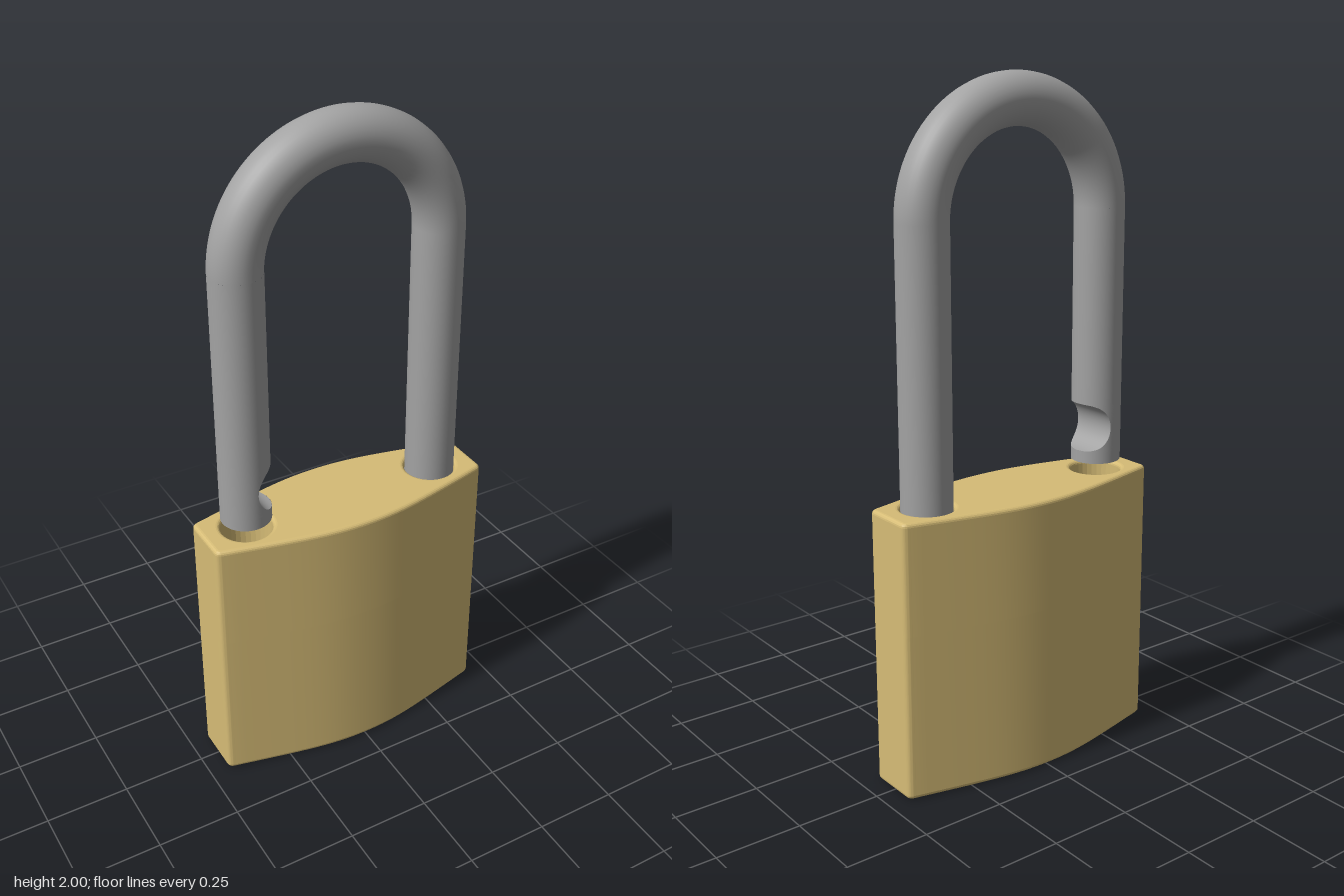
import * as THREE from 'three';
import { toCreasedNormals } from 'three/addons/utils/BufferGeometryUtils.js';

const LEG_X = 0.309, ROD = 0.074, ARCH_Y = 1.617;
const BASE = 0.002, TOP = 0.83, SPLIT = 0.5, BEVEL = 0.012;

// Plan of the body: bowed faces, narrow ends with rounded corners
function bodyOutline() {
  const s = new THREE.Shape();
  s.moveTo(0, -0.161);
  s.bezierCurveTo(0.12, -0.161, 0.2, -0.14, 0.422, -0.087);
  s.quadraticCurveTo(0.443, -0.083, 0.443, -0.066);
  s.lineTo(0.443, 0.066);
  s.quadraticCurveTo(0.443, 0.083, 0.422, 0.087);
  s.bezierCurveTo(0.2, 0.14, 0.12, 0.161, 0, 0.161);
  s.bezierCurveTo(-0.12, 0.161, -0.2, 0.14, -0.422, 0.087);
  s.quadraticCurveTo(-0.443, 0.083, -0.443, 0.066);
  s.lineTo(-0.443, -0.066);
  s.quadraticCurveTo(-0.443, -0.083, -0.422, -0.087);
  s.bezierCurveTo(-0.2, -0.14, -0.12, -0.161, 0, -0.161);
  return s;
}

// Upright extrusion whose straight wall runs from y0 to y1, bevels beyond
function upright(shape, y0, y1) {
  const g = new THREE.ExtrudeGeometry(shape, {
    depth: y1 - y0, curveSegments: 16, bevelEnabled: true, bevelSegments: 4,
    bevelSize: BEVEL, bevelThickness: BEVEL, bevelOffset: -BEVEL,
  });
  g.rotateX(-Math.PI / 2).translate(0, y0, 0);
  return toCreasedNormals(g, 0.18);
}

// Surface through rows of [x, y, z] points
function loft(rows) {
  const n = rows[0].length, index = [];
  for (let i = 0; i < rows.length - 1; i++) {
    for (let j = 0; j < n - 1; j++) {
      const a = i * n + j, b = a + n;
      index.push(a, a + 1, b, b, a + 1, b + 1);
    }
  }
  const g = new THREE.BufferGeometry();
  g.setAttribute('position', new THREE.Float32BufferAttribute(rows.flat(2), 3));
  g.setIndex(index);
  g.computeVertexNormals();
  return g;
}

export function createModel() {
  const group = new THREE.Group();
  const brass = new THREE.MeshStandardMaterial({ color: 0xd6bc76 });
  const steel = new THREE.MeshStandardMaterial({ color: 0xa3a3a3 });
  brass.name = 'brass';
  steel.name = 'steel';
  const add = (name, geometry, material, x = 0, y = 0, z = 0) => {
    const m = new THREE.Mesh(geometry, material);
    m.name = name;
    m.position.set(x, y, z);
    group.add(m);
  };

  // Body: solid lower block, upper block with two shackle holes
  add('lowerBody', upright(bodyOutline(), BASE + BEVEL, SPLIT), brass);
  const drilled = bodyOutline();
  for (const x of [-LEG_X, LEG_X]) {
    const hole = new THREE.Path();
    hole.absarc(x, 0, 0.076, 0, Math.PI * 2, true);
    drilled.holes.push(hole);
  }
  add('upperBody', upright(drilled, SPLIT, TOP - BEVEL), brass);

  // Lock cylinder under the body
  add('keyCylinder', new THREE.CylinderGeometry(0.117, 0.117, 0.03, 48), steel, 0, 0.015, 0);

  // Shackle arch and the long leg held in the body
  add('shackleArch', new THREE.TorusGeometry(LEG_X, ROD, 32, 64, Math.PI), steel, 0, ARCH_Y, 0);
  const legBottom = SPLIT + BEVEL;
  add('longLeg', new THREE.CylinderGeometry(ROD, ROD, ARCH_Y - legBottom, 32, 1, true), steel,
    LEG_X, (ARCH_Y + legBottom) / 2, 0);

  // Free leg: each level is a circle cut off by the round latch notch
  const notchX = 0.078, notchY = 0.968, notchR = 0.072, end = 0.86;
  const levels = [[end, ROD]];
  for (let i = 0; i <= 28; i++) {
    const t = (i / 28) * Math.PI;
    levels.push([notchY - notchR * Math.cos(t), Math.min(ROD, notchX - notchR * Math.sin(t))]);
  }
  levels.push([ARCH_Y, ROD]);
  const arcRows = [], notchRows = [], normals = [];
  for (const [y, cut] of levels) {
    const a = Math.acos(cut / ROD), arc = [], chord = [];
    for (let j = 0; j <= 40; j++) {
      const th = -a - (j / 40) * (Math.PI * 2 - 2 * a);
      arc.push([ROD * Math.cos(th), y, ROD * Math.sin(th)]);
      normals.push(Math.cos(th), 0, Math.sin(th));
    }
    for (let j = 0; j <= 6; j++) chord.push([cut, y, ROD * Math.sin(a) * (1 - j / 3)]);
    arcRows.push(arc);
    notchRows.push(chord);
  }
  const legSide = loft(arcRows);
  legSide.setAttribute('normal', new THREE.Float32BufferAttribute(normals, 3));
  add('freeLeg', legSide, steel, -LEG_X);
  add('latchNotch', loft(notchRows.slice(1, -1)), steel, -LEG_X);
  const cap = new THREE.CircleGeometry(ROD, 40).rotateX(Math.PI / 2);
  add('freeLegEnd', cap, steel, -LEG_X, end, 0);

  return group;
}
